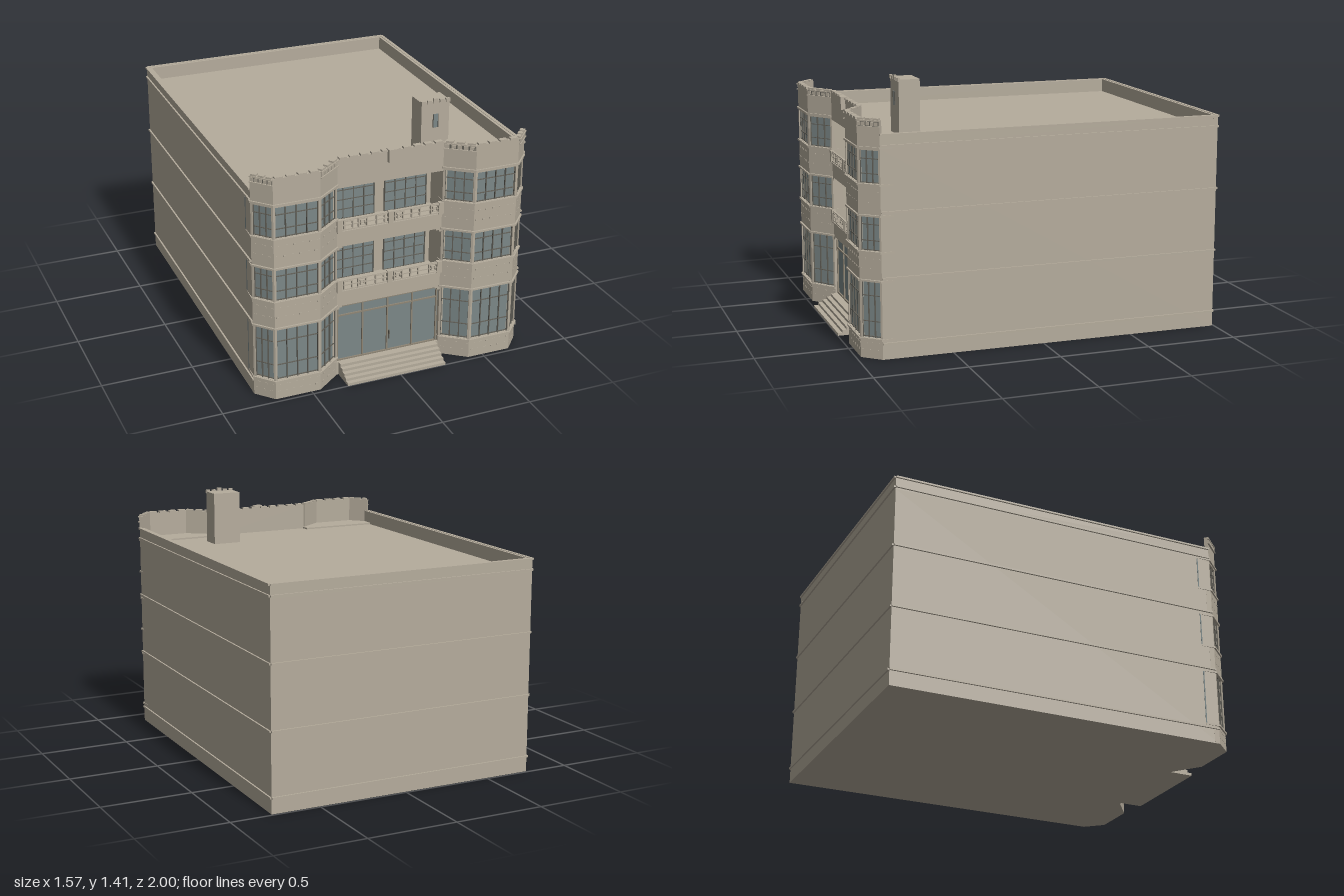
import * as THREE from 'three';

const mat = (name, color) => Object.assign(new THREE.MeshStandardMaterial({ color }), { name });

export function createModel() {
  const model = new THREE.Group();
  model.name = 'building';
  const stone = mat('stone', 0xb5ac9c);
  const glass = mat('glass', 0x7b8787);
  const frame = mat('window frame', 0x64625a);
  const doorTrim = mat('door trim', 0x8f8676);

  const add = (name, geometry, material) => {
    const mesh = new THREE.Mesh(geometry, material);
    mesh.name = name;
    model.add(mesh);
    return mesh;
  };
  const box = (name, m, x0, x1, y0, y1, z0, z1) =>
    add(name, new THREE.BoxGeometry(x1 - x0, y1 - y0, z1 - z0), m)
      .position.set((x0 + x1) / 2, (y0 + y1) / 2, (z0 + z1) / 2);

  // Upright prism over a plan outline of [x, z] points
  const prism = (name, m, pts, y0, y1) => {
    const shape = new THREE.Shape(pts.map(([x, z]) => new THREE.Vector2(x, -z)));
    const g = new THREE.ExtrudeGeometry(shape, { depth: y1 - y0, bevelEnabled: false });
    add(name, g.rotateX(-Math.PI / 2).translate(0, y0, 0), m);
  };
  // Box on a wall line: t along the wall, d outwards from it
  const bar = (name, m, [a, b], t0, t1, y0, y1, d0, d1) => {
    const dx = b[0] - a[0], dz = b[1] - a[1], len = Math.hypot(dx, dz);
    const t = (t0 + t1) / 2, d = (d0 + d1) / 2;
    const mesh = add(name, new THREE.BoxGeometry(len * (t1 - t0), y1 - y0, d1 - d0), m);
    mesh.position.set(a[0] + dx * t - dz / len * d, (y0 + y1) / 2, a[1] + dz * t + dx / len * d);
    mesh.rotation.y = -Math.atan2(dz, dx);
  };
  const segments = pts => pts.slice(1).map((p, i) => [pts[i], p]);
  // Push an open plan line outwards with mitred corners
  const offset = (pts, d) => {
    const normals = segments(pts).map(([a, b]) =>
      new THREE.Vector2(a[1] - b[1], b[0] - a[0]).normalize());
    return pts.map(([x, z], i) => {
      const n0 = normals[Math.max(i - 1, 0)], n1 = normals[Math.min(i, normals.length - 1)];
      const n = n0.clone().add(n1).multiplyScalar(d / (1 + n0.dot(n1)));
      return [x + n.x, z + n.y];
    });
  };

  const leftBay = [[-0.785, 0.88], [-0.70, 0.975], [-0.45, 0.975], [-0.315, 0.87]];
  const rightBay = [[0.28, 0.87], [0.415, 0.975], [0.66, 0.975], [0.745, 0.88]];
  const front = [...leftBay, ...rightBay];
  const sides = [[0.745, 0.88], [0.77, -0.99], [-0.755, -0.99], [-0.785, 0.88]];
  const roof = 1.10;

  // Main block with the balcony recess left open
  prism('mainBlock', stone, [[-0.785, 0.88], [-0.315, 0.87], [-0.315, 0.73], [0.28, 0.73],
    [0.28, 0.87], ...sides.slice(0, 3)], 0, roof);
  box('entranceBase', stone, -0.315, 0.28, 0, 0.075, 0.72, 0.87);
  box('firstFloorSlab', stone, -0.315, 0.28, 0.41, 0.50, 0.72, 0.87);
  box('secondFloorSlab', stone, -0.315, 0.28, 0.755, 0.845, 0.72, 0.87);
  box('recessRoof', stone, -0.315, 0.28, 1.085, roof, 0.72, 0.87);

  // Side and back ledges and parapet
  for (const s of segments(sides)) {
    for (const y of [0.085, 0.43, 0.775, 1.115, 1.172])
      bar('wallLedge', stone, s, 0, 1, y - 0.005, y + 0.005, -0.01, 0.009);
    bar('sideParapet', stone, s, 0, 1, roof, 1.175, -0.025, 0);
  }

  // Bays: stone bands, glazing and sills
  const floors = [[0.11, 0.42], [0.57, 0.76], [0.92, 1.11]];
  const bands = [[0, 0.11], [0.42, 0.57], [0.76, 0.92]];
  for (const bay of [leftBay, rightBay]) {
    const closed = d => {
      const p = offset(bay, d);
      return [...p, [bay[3][0], 0.80], [bay[0][0], 0.80]];
    };
    const plan = [...bay, [bay[3][0], 0.85], [bay[0][0], 0.85]];
    for (const [y0, y1] of bands) {
      prism('bayBand', stone, plan, y0, y1);
      // Courses of small projecting bricks
      segments(bay).forEach((s, k) => {
        const n = k === 1 ? 6 : 3;
        for (const row of [0.35, 0.7]) for (let i = 0; i < n; i++) {
          const t = (i + (row > 0.5 ? 0.55 : 0.25)) / n, y = y0 + (y1 - y0) * row;
          bar('brick', stone, s, t, t + 0.35 / n, y, y + 0.008, -0.002, 0.002);
        }
      });
    }
    prism('bayRoof', stone, plan, 1.09, roof);
    for (const [y0, y1] of floors) {
      const top = Math.min(y1, 1.095), h = top - y0;
      prism('bayGlass', glass, closed(-0.014), y0 - 0.005, top);
      segments(bay).forEach((s, k) => {
        const len = Math.hypot(s[1][0] - s[0][0], s[1][1] - s[0][1]);
        const e = 0.011 / len, w = 0.0025 / len, n = k === 1 ? 4 : 3;
        bar('bayPost', stone, s, 0, e, y0, y1, -0.02, 0);
        bar('bayPost', stone, s, 1 - e, 1, y0, y1, -0.02, 0);
        for (let i = 0; i <= n; i++) {
          const t = e + (1 - 2 * e) * i / n;
          bar('mullion', frame, s, t - w, t + w, y0, top, -0.016, -0.006);
        }
        for (const f of [0.02, 0.28, 0.72, 0.97])
          bar('glazingBar', frame, s, e, 1 - e, y0 + h * f - 0.002, y0 + h * f + 0.002, -0.016, -0.008);
      });
      for (const y of [y0, y1])
        prism('baySill', stone, closed(0.008), y - 0.011, y - 0.001);
    }
  }

  // Front parapet with caps and pierced panels on the slanted faces
  segments(front).forEach((s, k) => {
    bar('frontParapet', stone, s, 0, 1, 1.095, 1.245, -0.02, 0);
    const len = Math.hypot(s[1][0] - s[0][0], s[1][1] - s[0][1]);
    const n = Math.max(3, Math.round(len / 0.06));
    for (let i = 0; i < n; i++)
      bar('parapetCap', stone, s, (i + 0.15) / n, (i + 0.85) / n, 1.243, 1.254, -0.022, 0.004);
    if (k % 2 === 0 && k !== 3) {
      bar('panelBack', frame, s, 0.04, 0.96, 1.212, 1.24, -0.001, 0.001);
      for (const y of [1.208, 1.238]) bar('panelRail', stone, s, 0, 1, y, y + 0.006, 0, 0.009);
      for (let i = 0; i < 5; i++) {
        const t = 0.04 + i * 0.19;
        bar('panelBlock', stone, s, t, t + 0.13, 1.217, 1.235, 0, 0.007);
      }
    }
  });
  box('keystone', stone, -0.04, 0.01, 1.19, 1.26, 0.86, 0.895);

  // Balcony windows at the back of the recess
  const paneWindow = (x0, x1, y0, y1, z) => {
    box('balconyGlass', glass, x0, x1, y0, y1, z - 0.003, z + 0.004);
    for (let i = 0; i <= 4; i++) {
      const x = x0 + (x1 - x0) * i / 4;
      box('balconyMullion', frame, x - 0.0025, x + 0.0025, y0, y1, z, z + 0.009);
    }
    for (let i = 0; i <= 4; i++) {
      const y = y0 + (y1 - y0) * i / 4;
      box('balconyGlazingBar', frame, x0, x1, y - 0.002, y + 0.002, z, z + 0.008);
    }
  };
  const ring = (x, y, r, w) => {
    for (const s of [-1, 1]) {
      box('railSquare', stone, x - r, x + r, y + s * (r - w) - w, y + s * (r - w) + w, 0.868, 0.882);
      box('railSquare', stone, x + s * (r - w) - w, x + s * (r - w) + w, y - r, y + r, 0.868, 0.882);
    }
  };
  for (const y of [0.50, 0.845]) {
    paneWindow(-0.285, -0.05, y, y + 0.215, 0.73);
    paneWindow(0.01, 0.25, y, y + 0.215, 0.73);
    // Geometric railing
    const c = y + 0.032;
    box('balconyLip', stone, -0.315, 0.28, y - 0.008, y, 0.86, 0.88);
    for (const dy of [-0.026, 0, 0.028])
      box('balconyRail', stone, -0.315, 0.28, c + dy - 0.003, c + dy + 0.003, 0.868, 0.878);
    for (const x of [-0.305, -0.018, 0.27])
      box('railPost', stone, x - 0.014, x + 0.014, y, y + 0.066, 0.862, 0.884);
    for (const x of [-0.175, 0.03, 0.235]) {
      ring(x, c, 0.026, 0.003);
      ring(x, c, 0.013, 0.002);
    }
    for (const x of [-0.255, -0.075, 0.125]) ring(x, c, 0.026, 0.003);
  }
  // Stepped corners of the openings
  for (const top of [0.755, 0.41]) {
    for (const [w, h] of [[0.03, 0.008], [0.014, 0.018]]) {
      box('steppedCorner', stone, -0.315, -0.315 + w, top - h, top, 0.848, 0.87);
      box('steppedCorner', stone, 0.28 - w, 0.28, top - h, top, 0.848, 0.87);
    }
  }

  // Glazed entrance
  box('entranceGlass', glass, -0.315, 0.28, 0.075, 0.41, 0.84, 0.85);
  for (const x of [-0.306, -0.162, -0.018, 0.126, 0.27])
    box('doorPost', doorTrim, x - 0.004, x + 0.004, 0.075, 0.41, 0.848, 0.858);
  for (const y of [0.079, 0.345, 0.402])
    box('doorRail', doorTrim, -0.31, 0.275, y - 0.004, y + 0.004, 0.848, 0.858);
  box('doorHandle', frame, -0.012, -0.006, 0.15, 0.20, 0.856, 0.866);

  // Entrance steps
  for (let i = 0; i < 5; i++)
    box('step', stone, -0.305, 0.265, i * 0.015, (i + 1) * 0.015, 0.86, 1 - i * 0.025);

  // Roof turret
  box('turret', stone, 0.24, 0.40, 1.09, 1.395, 0.565, 0.68);
  for (let i = 0; i < 5; i++) {
    const x = 0.237 + i * 0.0355, up = i === 2 ? 0.008 : 0;
    box('turretMerlon', stone, x, x + 0.024, 1.385, 1.404 + up, 0.672, 0.686);
  }
  box('turretWindow', glass, 0.308, 0.334, 1.25, 1.325, 0.676, 0.683);
  for (const x of [0.306, 0.334])
    box('turretWindowFrame', frame, x, x + 0.003, 1.25, 1.325, 0.678, 0.686);

  return model;
}
